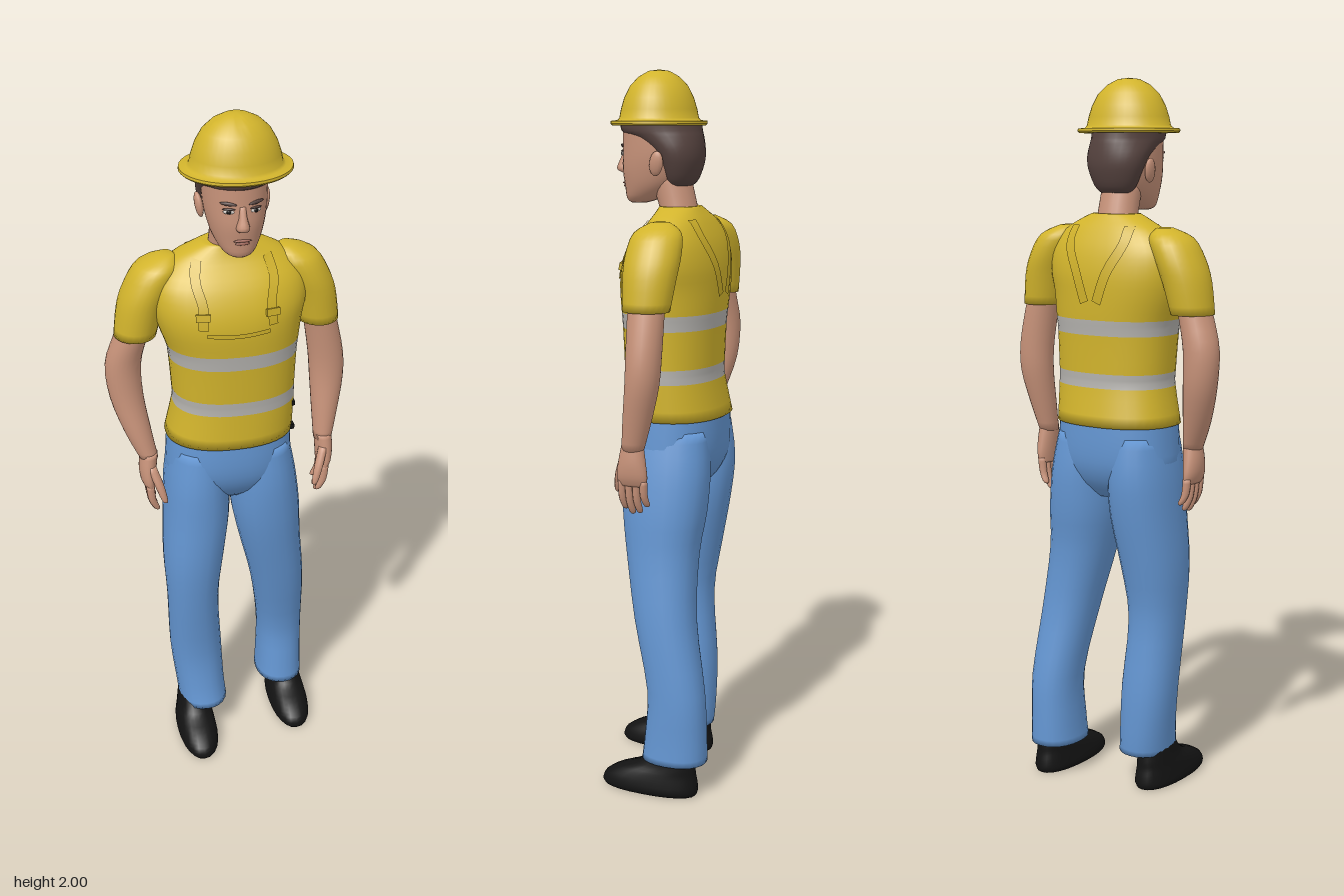
import * as THREE from 'three';
import { toCreasedNormals } from 'three/addons/utils/BufferGeometryUtils.js';

const mat = (name, color, side = THREE.FrontSide) => {
  const m = new THREE.MeshStandardMaterial({ color, side });
  m.name = name;
  return m;
};

// Smooth a list of sections [x, y, z, rx, rz] with a Catmull-Rom spline.
function smoothRows(keys, sub) {
  const rows = [];
  for (let i = 0; i < keys.length - 1; i++) {
    const a = keys[Math.max(i - 1, 0)], b = keys[i], c = keys[i + 1], d = keys[Math.min(i + 2, keys.length - 1)];
    for (let s = 0; s < sub; s++) {
      const t = s / sub, t2 = t * t, t3 = t2 * t;
      rows.push(b.map((_, k) => 0.5 * (2 * b[k] + (c[k] - a[k]) * t
        + (2 * a[k] - 5 * b[k] + 4 * c[k] - d[k]) * t2 + (3 * b[k] - a[k] - 3 * c[k] + d[k]) * t3)));
    }
  }
  rows.push(keys[keys.length - 1]);
  return rows;
}

// Closed body through stacked superellipse sections; bands gives a material index per key interval.
function loft(keyList, { n = 2, seg = 24, sub = 3, bands = null } = {}) {
  const keys = keyList[0][1] > keyList[keyList.length - 1][1] ? [...keyList].reverse() : keyList;
  const rows = smoothRows(keys, sub), pos = [], idx = [];
  const pw = (v) => Math.sign(v) * Math.pow(Math.abs(v), 2 / n);
  for (const [x, y, z, rx, rz] of rows)
    for (let j = 0; j < seg; j++) {
      const a = (j / seg) * Math.PI * 2;
      pos.push(x + rx * pw(Math.cos(a)), y, z + rz * pw(Math.sin(a)));
    }
  const geo = new THREE.BufferGeometry();
  for (let i = 0; i < rows.length - 1; i++) {
    const start = idx.length;
    for (let j = 0; j < seg; j++) {
      const k = (j + 1) % seg, a = i * seg + j, b = i * seg + k;
      idx.push(a, a + seg, b, b, a + seg, b + seg);
    }
    if (bands) geo.addGroup(start, idx.length - start, bands[Math.floor(i / sub)]);
  }
  const capStart = idx.length, last = (rows.length - 1) * seg, c0 = rows.length * seg;
  pos.push(...rows[0].slice(0, 3), ...rows[rows.length - 1].slice(0, 3));
  for (let j = 0; j < seg; j++) {
    const k = (j + 1) % seg;
    idx.push(c0, j, k, c0 + 1, last + k, last + j);
  }
  if (bands) geo.addGroup(capStart, idx.length - capStart, 0);
  geo.setAttribute('position', new THREE.Float32BufferAttribute(pos, 3));
  geo.setIndex(idx);
  geo.computeVertexNormals();
  geo.userData.rows = rows;
  return geo;
}

// Depth of a lofted surface at (x, y); dir is +1 for the front and -1 for the back.
function depthAt(rows, x, y, dir, n) {
  let i = rows.findIndex((r) => r[1] >= y);
  i = Math.max(1, i < 0 ? rows.length - 1 : i);
  const t = (y - rows[i - 1][1]) / (rows[i][1] - rows[i - 1][1]);
  const r = rows[i].map((v, k) => THREE.MathUtils.lerp(rows[i - 1][k], v, t));
  const u = Math.min(1, Math.abs((x - r[0]) / r[3]));
  return r[2] + dir * r[4] * Math.pow(1 - Math.pow(u, n), 1 / n);
}

export function createModel() {
  const yellow = mat('safety yellow', 0xd2b42c), blue = mat('denim blue', 0x6496d2);
  const skin = mat('skin', 0xc8937a), hair = mat('dark brown hair', 0x56433f);
  const black = mat('shoe black', 0x131313), grey = mat('reflective grey', 0xb4b2ae);
  const lip = mat('lips', 0xa36a5c), white = mat('eye white', 0xd9d2cb);
  const strapMat = mat('strap yellow', 0xcdaf2a, THREE.DoubleSide);
  const model = new THREE.Group();
  const add = (name, geo, material, parent = model) => {
    const mesh = new THREE.Mesh(geo, material);
    mesh.name = name;
    parent.add(mesh);
    return mesh;
  };

  // Shirt with two reflective bands
  const shirt = loft([
    [0, 1.06, -0.034, 0.181, 0.138], [0.012, 1.165, -0.027, 0.172, 0.127], [0.012, 1.205, -0.026, 0.172, 0.127],
    [0.01, 1.31, -0.025, 0.178, 0.131], [0.008, 1.352, -0.025, 0.184, 0.134], [0, 1.42, -0.024, 0.2, 0.137],
    [0, 1.48, -0.028, 0.212, 0.131], [0, 1.54, -0.035, 0.203, 0.111], [0.003, 1.59, -0.044, 0.16, 0.079],
    [0.005, 1.62, -0.042, 0.107, 0.061], [0.005, 1.636, -0.038, 0.07, 0.053],
  ], { n: 2.3, seg: 40, bands: [0, 1, 0, 1, 0, 0, 0, 0, 0, 0] });
  add('shirt', shirt, [yellow, grey]);
  const chest = shirt.userData.rows;

  // Thin ribbons that follow the shirt
  const ribbon = (name, path, w, dir) => {
    const pos = [], idx = [], steps = 12;
    const curve = new THREE.CatmullRomCurve3(path.map(([x, y]) => new THREE.Vector3(x, y, 0)));
    for (let i = 0; i <= steps; i++) {
      const p = curve.getPoint(i / steps), t = curve.getTangent(i / steps);
      for (const s of [-1, 1]) {
        const x = p.x - t.y * s * w / 2, y = p.y + t.x * s * w / 2;
        pos.push(x, y, depthAt(chest, x, y, dir, 2.3) + dir * 0.005);
      }
      if (i) idx.push(2 * i - 2, 2 * i - 1, 2 * i, 2 * i, 2 * i - 1, 2 * i + 1);
    }
    const g = new THREE.BufferGeometry();
    g.setAttribute('position', new THREE.Float32BufferAttribute(pos, 3));
    g.setIndex(idx);
    g.computeVertexNormals();
    add(name, g, strapMat);
  };
  for (const s of [1, -1]) {
    ribbon('frontStrap', [[s * 0.095, 1.44], [s * 0.092, 1.5], [s * 0.105, 1.56], [s * 0.095, 1.605]], 0.026, 1);
    ribbon('backStrap', [[s * 0.02, 1.4], [s * 0.05, 1.48], [s * 0.09, 1.56], [s * 0.09, 1.605]], 0.03, -1);
    const buckle = add('strapBuckle', new THREE.BoxGeometry(0.038, 0.02, 0.008), strapMat);
    buckle.position.set(s * 0.094, 1.475, depthAt(chest, s * 0.094, 1.475, 1, 2.3) + 0.005);
    buckle.rotation.set(-0.2, s * 0.25, 0);
  }
  ribbon('bibEdge', [[-0.085, 1.425], [0, 1.42], [0.085, 1.425]], 0.012, 1);
  for (const y of [1.145, 1.068]) {
    add('sideButton', new THREE.BoxGeometry(0.012, 0.014, 0.022), black).position.set(0.172, y, 0.02);
  }

  // Sleeves
  for (const s of [1, -1]) {
    add('sleeve', loft([
      [s * 0.165, 1.602, -0.048, 0.02, 0.025], [s * 0.186, 1.575, -0.048, 0.06, 0.065],
      [s * 0.215, 1.52, -0.048, 0.066, 0.076], [s * 0.238, 1.46, -0.047, 0.064, 0.073],
      [s * 0.255, 1.375, -0.045, 0.058, 0.064],
    ]), yellow);
  }

  // Arms and hands
  const arms = [
    { name: 'leftArm', s: 1, keys: [[0.25, 1.42, -0.045, 0.046, 0.05], [0.265, 1.36, -0.048, 0.047, 0.05],
      [0.283, 1.26, -0.05, 0.05, 0.048], [0.287, 1.18, -0.046, 0.048, 0.046],
      [0.281, 1.09, -0.03, 0.038, 0.04], [0.273, 1.0, -0.012, 0.026, 0.031]] },
    { name: 'rightArm', s: -1, keys: [[-0.25, 1.42, -0.045, 0.046, 0.05], [-0.27, 1.36, -0.048, 0.047, 0.05],
      [-0.29, 1.28, -0.055, 0.05, 0.048], [-0.284, 1.18, -0.05, 0.047, 0.046],
      [-0.26, 1.08, -0.028, 0.038, 0.04], [-0.234, 1.0, -0.008, 0.026, 0.031]] },
  ];
  for (const { name, s, keys } of arms) {
    const arm = new THREE.Group();
    arm.name = name;
    model.add(arm);
    add('arm', loft(keys), skin, arm);
    const [x, y, z] = keys[keys.length - 1];
    add('palm', loft([[x, y + 0.015, z, 0.025, 0.031], [x + s * 0.004, y - 0.03, z, 0.025, 0.039],
      [x + s * 0.004, y - 0.07, z, 0.021, 0.044], [x, y - 0.095, z, 0.014, 0.04]]), skin, arm);
    for (let f = 0; f < 4; f++) {
      const fz = z + 0.031 - f * 0.021, len = [0.075, 0.088, 0.084, 0.065][f];
      add('finger', loft([[x + s * 0.003, y - 0.08, fz, 0.012, 0.011], [x - s * 0.002, y - 0.09 - len * 0.5, fz, 0.011, 0.0105],
        [x - s * 0.014, y - 0.09 - len * 0.9, fz - 0.003, 0.009, 0.009],
        [x - s * 0.018, y - 0.09 - len, fz - 0.003, 0.003, 0.003]], { seg: 10 }), skin, arm);
    }
    add('thumb', loft([[x - s * 0.003, y - 0.02, z + 0.025, 0.013, 0.014], [x - s * 0.02, y - 0.07, z + 0.047, 0.013, 0.013],
      [x - s * 0.033, y - 0.115, z + 0.059, 0.009, 0.009], [x - s * 0.036, y - 0.125, z + 0.06, 0.003, 0.003]],
    { seg: 10 }), skin, arm);
  }

  // Trousers: hips and two flared legs
  add('hips', loft([[0, 1.075, -0.035, 0.174, 0.131], [0, 1.0, -0.034, 0.179, 0.133], [0, 0.94, -0.035, 0.178, 0.125],
    [0.003, 0.89, -0.037, 0.14, 0.1], [0.003, 0.85, -0.04, 0.06, 0.06]], { n: 2.3, seg: 36 }), blue);
  add('leftTrouserLeg', loft([[0.09, 1.03, -0.035, 0.08, 0.115], [0.1, 0.92, -0.036, 0.093, 0.126],
    [0.109, 0.8, -0.036, 0.1, 0.119], [0.124, 0.68, -0.037, 0.092, 0.102], [0.155, 0.5, -0.058, 0.08, 0.087],
    [0.175, 0.3, -0.098, 0.069, 0.082], [0.175, 0.17, -0.098, 0.069, 0.089], [0.174, 0.095, -0.094, 0.072, 0.094]],
  { n: 2.2 }), blue);
  add('rightTrouserLeg', loft([[-0.09, 1.03, -0.035, 0.08, 0.115], [-0.095, 0.92, -0.033, 0.091, 0.128],
    [-0.098, 0.8, -0.025, 0.095, 0.122], [-0.111, 0.65, -0.01, 0.088, 0.106], [-0.115, 0.5, -0.006, 0.076, 0.086],
    [-0.105, 0.3, -0.026, 0.078, 0.081], [-0.095, 0.17, -0.022, 0.074, 0.086], [-0.088, 0.1, -0.012, 0.073, 0.092]],
  { n: 2.2 }), blue);

  // Shoes
  for (const [name, x, z] of [['leftShoe', 0.19, -0.025], ['rightShoe', -0.12, 0.052]]) {
    add(name, loft([[x, 0, z, 0.053, 0.139], [x, 0.012, z, 0.06, 0.144], [x, 0.035, z - 0.004, 0.058, 0.138],
      [x, 0.06, z - 0.022, 0.053, 0.115], [x, 0.085, z - 0.052, 0.047, 0.083], [x, 0.135, z - 0.068, 0.04, 0.06]],
    { n: 2.3 }), black);
  }

  // Neck, head and ears
  const cx = 0.005;
  add('neck', loft([[cx, 1.58, -0.045, 0.064, 0.05], [cx, 1.635, -0.032, 0.058, 0.052], [cx, 1.72, -0.008, 0.056, 0.056]]), skin);
  const headGeo = loft([[cx, 1.643, 0.085, 0.02, 0.022], [cx, 1.655, 0.072, 0.042, 0.047], [cx, 1.69, 0.044, 0.064, 0.079],
    [cx, 1.735, 0.03, 0.077, 0.099], [cx, 1.785, 0.022, 0.084, 0.105], [cx, 1.86, 0.02, 0.086, 0.106]], { n: 2.1, seg: 32 });
  add('head', headGeo, skin);
  const faceZ = (x, y) => depthAt(headGeo.userData.rows, x, y, 1, 2.1);
  add('nose', loft([[cx, 1.724, faceZ(cx, 1.724), 0.013, 0.007], [cx, 1.735, faceZ(cx, 1.735), 0.018, 0.024],
    [cx, 1.76, faceZ(cx, 1.76), 0.011, 0.015], [cx, 1.79, faceZ(cx, 1.79) - 0.004, 0.008, 0.006]], { seg: 12 }), skin);

  // Flattened ellipsoids for the painted face details
  const spot = (name, dx, y, rx, ry, material, lift = 0, roll = 0) => {
    const m = add(name, new THREE.SphereGeometry(1, 14, 8), material);
    m.position.set(cx + dx, y, faceZ(cx + dx, y) + lift);
    m.scale.set(rx, ry, 0.004);
    m.rotation.set(0, dx * 9, roll);
  };
  for (const s of [1, -1]) {
    spot('eyeWhite', s * 0.035, 1.777, 0.015, 0.006, white);
    spot('iris', s * 0.035, 1.777, 0.006, 0.006, black, 0.002);
    spot('eyelid', s * 0.035, 1.784, 0.017, 0.003, hair, 0.001);
    spot('eyebrow', s * 0.036, 1.798, 0.022, 0.005, hair, 0.001, s * 0.12);
    const ear = add('ear', new THREE.SphereGeometry(1, 12, 10), skin);
    ear.position.set(cx + s * 0.088, 1.752, -0.003);
    ear.scale.set(0.011, 0.034, 0.02);
    ear.rotation.set(-0.2, 0, -s * 0.15);
  }
  spot('upperLip', 0, 1.697, 0.024, 0.004, lip);
  spot('lowerLip', 0, 1.689, 0.019, 0.005, lip);

  // Hair under the helmet
  add('hair', loft([[cx, 1.69, -0.04, 0.045, 0.028], [cx, 1.71, -0.043, 0.064, 0.043], [cx, 1.755, -0.042, 0.083, 0.059],
    [cx, 1.79, -0.03, 0.091, 0.073], [cx, 1.822, 0.0, 0.094, 0.1], [cx, 1.838, 0.017, 0.095, 0.114],
    [cx, 1.865, 0.02, 0.095, 0.113]], { seg: 32 }), hair);

  // Hard hat with brim
  const profile = [[0, 1.852], [0.143, 1.852], [0.148, 1.857], [0.147, 1.864], [0.127, 1.866], [0.121, 1.872], [0.116, 1.895],
    [0.106, 1.925], [0.088, 1.957], [0.062, 1.981], [0.032, 1.996], [0, 2]].map(([r, y]) => new THREE.Vector2(r, y));
  const hat = add('hardHat', toCreasedNormals(new THREE.LatheGeometry(profile, 40), 0.7), yellow);
  hat.scale.z = 0.875;
  hat.position.set(0.009, 0, 0.024);

  return model;
}
